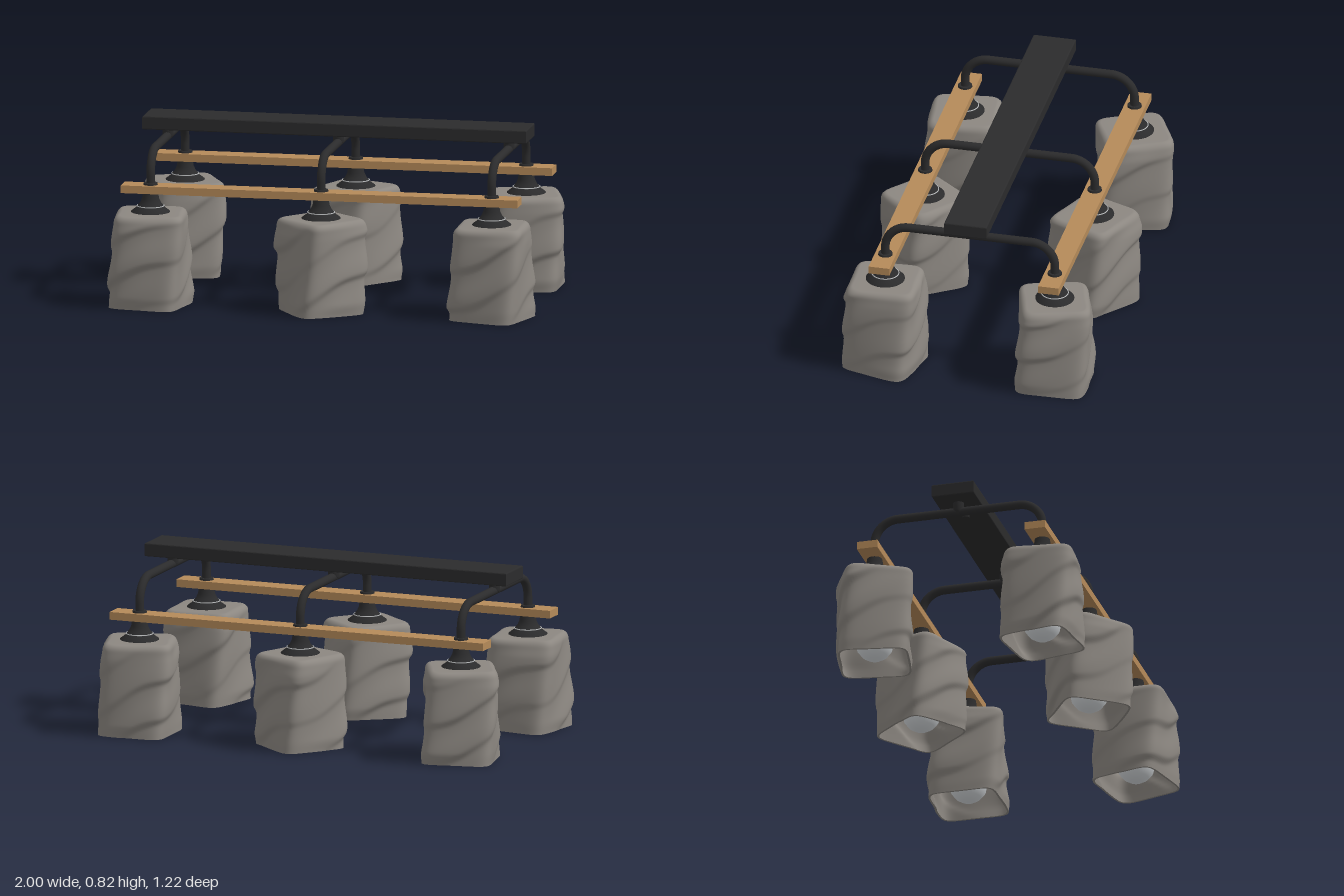
import * as THREE from 'three';

const mat = (name, color, side = THREE.FrontSide) => {
  const m = new THREE.MeshStandardMaterial({ color, side });
  m.name = name;
  return m;
};

// Hollow square shade, slightly twisted, with slanting folds wrapped around it
function shadeGeometry(turn, seed) {
  const N = 112, H = 0.435, wall = 0.01, round = 0.03;
  const rows = []; // [y, inset from wall, scale towards the axis]
  for (const s of [0.3, 0.55, 0.8]) rows.push([H, round, s]);
  for (let i = 0; i <= 6; i++) {
    const a = (i / 6) * Math.PI / 2;
    rows.push([H - round * (1 - Math.cos(a)), round * (1 - Math.sin(a)), 1]);
  }
  for (let i = 1; i <= 50; i++) rows.push([(H - round) * (1 - i / 50), 0, 1]);
  rows.push([0, 0, 1], [0, wall, 1], [0, wall, 1]); // doubled rows keep the rim crisp
  for (let i = 1; i <= 24; i++) rows.push([(H - round) * i / 24, wall, 1]);
  rows.push([H - 0.012, round + 0.005, 1], [H - 0.012, round + 0.005, 0.3]);

  const pos = [], idx = [];
  for (const [y, inset, scale] of rows) {
    const twist = turn + 0.28 * (1 - y / H);
    for (let j = 0; j < N; j++) {
      const t = (j / N) * Math.PI * 2;
      const c = Math.abs(Math.cos(t - twist + Math.PI / 4));
      const s = Math.abs(Math.sin(t - twist + Math.PI / 4));
      const square = 0.161 / Math.pow(c ** 6.5 + s ** 6.5, 1 / 6.5);
      const u = 3 * t / (Math.PI * 2) + y / 0.18 + 0.16 * Math.sin(t * 2 + seed) + seed * 0.37;
      const p = u - Math.floor(u);
      const fold = p < 0.2 ? THREE.MathUtils.smoothstep(p, 0, 0.2) : 0.5 + 0.5 * Math.cos((p - 0.2) / 0.8 * Math.PI);
      const amp = 0.011 + 0.006 * Math.sin(2 * t + 9 * y + seed * 2);
      const fade = THREE.MathUtils.smoothstep(H - y, 0, 0.08) * (0.35 + 0.65 * THREE.MathUtils.smoothstep(y, 0, 0.06));
      const r = (square + amp * fold * fade - inset) * scale;
      pos.push(r * Math.cos(t), y, r * Math.sin(t));
    }
  }
  for (let i = 0; i < rows.length - 1; i++) {
    for (let j = 0; j < N; j++) {
      const a = i * N + j, b = i * N + (j + 1) % N;
      idx.push(a, b, a + N, b, b + N, a + N);
    }
  }
  const g = new THREE.BufferGeometry();
  g.setAttribute('position', new THREE.Float32BufferAttribute(pos, 3));
  g.setIndex(idx);
  g.computeVertexNormals();
  return g;
}

export function createModel() {
  const black = mat('blackMetal', 0x2b2b2c);
  const wood = mat('wood', 0xb58a59);
  const stone = mat('greyShade', 0x8c8781);
  const silver = mat('silverRing', 0xb8babb);
  const glass = mat('bulbGlass', 0xd6dadd);

  const root = new THREE.Group();
  root.name = 'sixLampCeilingLight';
  const add = (parent, name, geo, material, x = 0, y = 0, z = 0) => {
    const m = new THREE.Mesh(geo, material);
    m.name = name;
    m.position.set(x, y, z);
    parent.add(m);
    return m;
  };
  const lathe = (pts, seg = 32) => new THREE.LatheGeometry(pts.map(p => new THREE.Vector2(...p)), seg);

  // Ceiling plate with softened edges
  const plate = new THREE.Shape();
  const w = 0.895, d = 0.095;
  plate.moveTo(-w, -d).lineTo(w, -d).lineTo(w, d).lineTo(-w, d).closePath();
  const plateGeo = new THREE.ExtrudeGeometry(plate, {
    depth: 0.052, bevelEnabled: true, bevelSize: 0.005, bevelThickness: 0.005, bevelSegments: 2,
  });
  plateGeo.rotateX(-Math.PI / 2);
  add(root, 'ceilingPlate', plateGeo, black, 0, 0.763, 0);
  for (const x of [-0.67, 0.67]) {
    add(root, 'plateScrew', new THREE.CylinderGeometry(0.016, 0.016, 0.016, 20), black, x, 0.752, 0);
  }

  // Curved arms, one per pair of lamps
  const armPath = new THREE.CurvePath();
  const v = (y, z) => new THREE.Vector3(0, y, z);
  const k = 0.05;
  armPath.add(new THREE.LineCurve3(v(0.54, 0.4), v(0.605, 0.4)));
  armPath.add(new THREE.CubicBezierCurve3(v(0.605, 0.4), v(0.605 + 0.11 - k, 0.4), v(0.715, 0.29 + k + 0.01), v(0.715, 0.29)));
  armPath.add(new THREE.LineCurve3(v(0.715, 0.29), v(0.715, -0.29)));
  armPath.add(new THREE.CubicBezierCurve3(v(0.715, -0.29), v(0.715, -0.3 - k), v(0.715 - k, -0.4), v(0.605, -0.4)));
  armPath.add(new THREE.LineCurve3(v(0.605, -0.4), v(0.54, -0.4)));
  const armGeo = new THREE.TubeGeometry(armPath, 120, 0.02, 16);
  const hubGeo = lathe([[0, 0.708], [0.018, 0.708], [0.026, 0.718], [0.026, 0.765]], 24);

  // Lamp parts shared by all six lamps
  const collarGeo = new THREE.CylinderGeometry(0.032, 0.034, 0.012, 28);
  const socketGeo = lathe([[0, 0.425], [0.09, 0.425], [0.09, 0.437], [0.066, 0.455], [0.06, 0.464],
    [0.048, 0.478], [0.039, 0.498], [0.034, 0.53]]);
  const ringGeo = new THREE.TorusGeometry(0.062, 0.0025, 8, 40).rotateX(Math.PI / 2);
  const bulbGeo = lathe([[0, 0.012], [0.03, 0.017], [0.058, 0.034], [0.08, 0.062], [0.088, 0.1],
    [0.082, 0.138], [0.064, 0.175], [0.044, 0.215], [0.034, 0.26]]);
  const holderGeo = new THREE.CylinderGeometry(0.04, 0.04, 0.17, 24);
  const deg = Math.PI / 180;
  const turns = { '-1': [18, 68, 28], '1': [38, -6, 43] }; // corner direction of each shade

  [-0.8, 0, 0.8].forEach((x, i) => {
    add(root, 'curvedArm', armGeo, black, x);
    add(root, 'armHub', hubGeo, black, x);
    for (const side of [-1, 1]) {
      const lamp = new THREE.Group();
      lamp.name = 'lamp';
      lamp.position.set(x, 0, side * 0.4);
      root.add(lamp);
      add(lamp, 'collar', collarGeo, black, 0, 0.564, 0);
      add(lamp, 'socket', socketGeo, black);
      add(lamp, 'socketRing', ringGeo, silver, 0, 0.463, 0);
      add(lamp, 'bulb', bulbGeo, glass);
      add(lamp, 'bulbHolder', holderGeo, black, 0, 0.34, 0);
      add(lamp, 'shade', shadeGeometry(turns[side][i] * deg, i * 1.7 + side), stone);
    }
  });

  // Wooden rails
  for (const side of [-1, 1]) {
    add(root, 'woodRail', new THREE.BoxGeometry(1.86, 0.036, 0.098), wood, 0, 0.543, side * 0.4);
  }
  return root;
}
